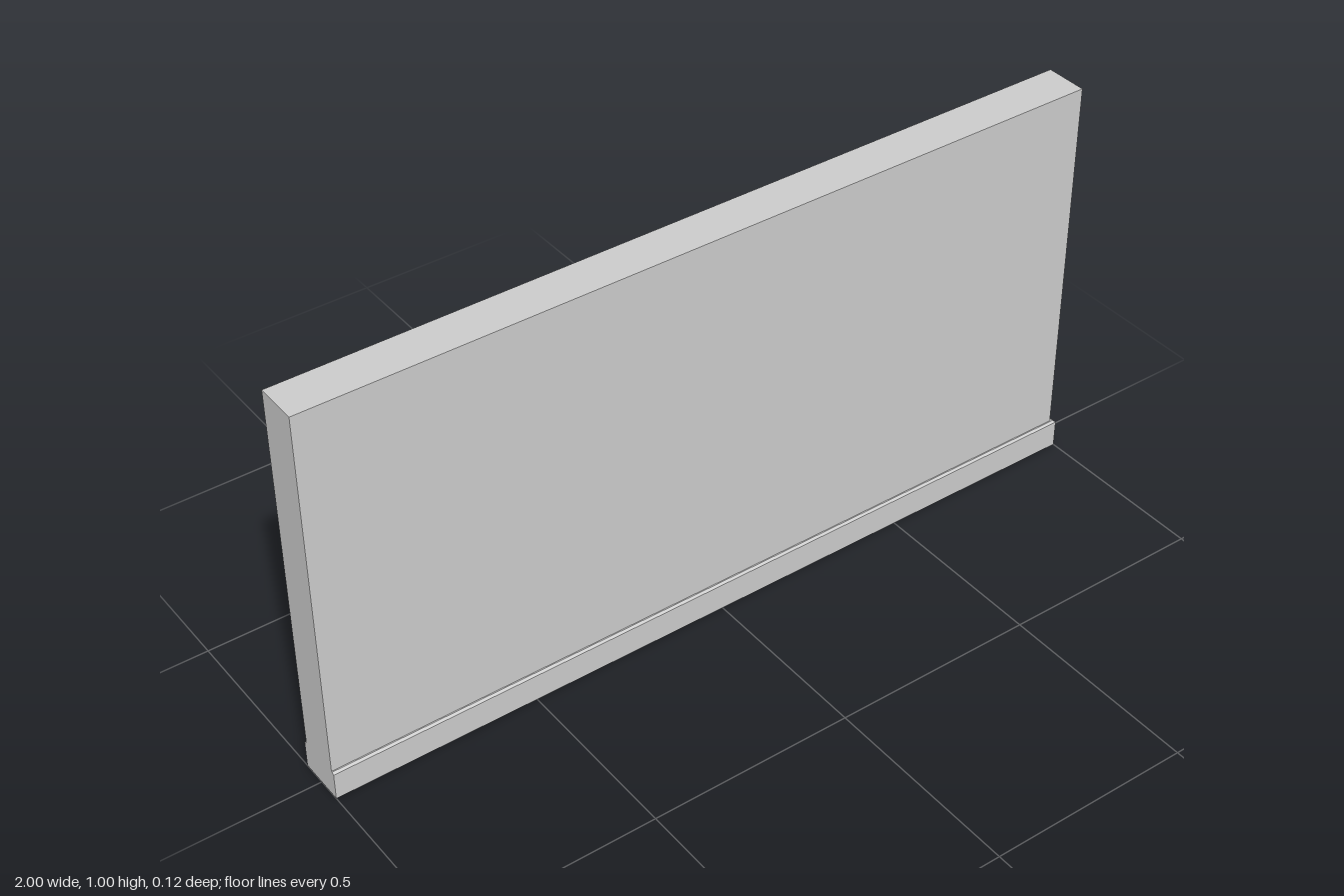
import * as THREE from 'three';

const material = new THREE.MeshStandardMaterial({ color: 0xcccccc, flatShading: true });

// Solid block lofted through rectangular levels [y, x0, x1, z0, z1], bottom to top.
function loftedBlock(levels) {
  const rings = levels.map(([y, x0, x1, z0, z1]) => [
    [x0, y, z1], [x1, y, z1], [x1, y, z0], [x0, y, z0],
  ]);
  const positions = [];
  const quad = (a, b, c, d) => positions.push(...a, ...b, ...c, ...a, ...c, ...d);
  for (let r = 0; r < rings.length - 1; r++) {
    for (let i = 0; i < 4; i++) {
      const j = (i + 1) % 4;
      quad(rings[r][i], rings[r][j], rings[r + 1][j], rings[r + 1][i]);
    }
  }
  const top = rings[rings.length - 1];
  quad(...top);
  quad(...[...rings[0]].reverse());
  const geometry = new THREE.BufferGeometry();
  geometry.setAttribute('position', new THREE.Float32BufferAttribute(positions, 3));
  geometry.computeVertexNormals();
  return geometry;
}

export function createModel() {
  const group = new THREE.Group();
  const add = (name, geometry) => {
    const mesh = new THREE.Mesh(geometry, material);
    mesh.name = name;
    group.add(mesh);
    return mesh;
  };

  const wallTop = 0.996, wallHalf = 0.052, wallEnd = 0.988;
  const baseTop = 0.073, baseHalf = 0.06, bevel = 0.005;

  // Baseboard: bevelled on the front, back and +x end, flush at the -x end
  add('baseboard', loftedBlock([
    [0, -1, 1, -baseHalf, baseHalf],
    [baseTop - bevel, -1, 1, -baseHalf, baseHalf],
    [baseTop, -1, 1 - bevel, -baseHalf + bevel, baseHalf - bevel],
  ]));

  // Wall slab standing on the baseboard
  add('wall', loftedBlock([
    [baseTop, -1, wallEnd, -wallHalf, wallHalf],
    [wallTop, -1, wallEnd, -wallHalf, wallHalf],
  ]));

  // Bevelled outlet plates on the back of the wall
  const w = 0.048, h = 0.03, depth = 0.007, edge = 0.004;
  for (const [name, x] of [['leftOutletPlate', 0.777], ['rightOutletPlate', -0.727]]) {
    const plate = add(name, loftedBlock([
      [0, -w, w, -h, h],
      [depth - edge, -w, w, -h, h],
      [depth, -w + edge, w - edge, -h + edge, h - edge],
    ]));
    plate.rotation.x = -Math.PI / 2;
    plate.position.set(x, 0.17, -wallHalf);
  }

  return group;
}
